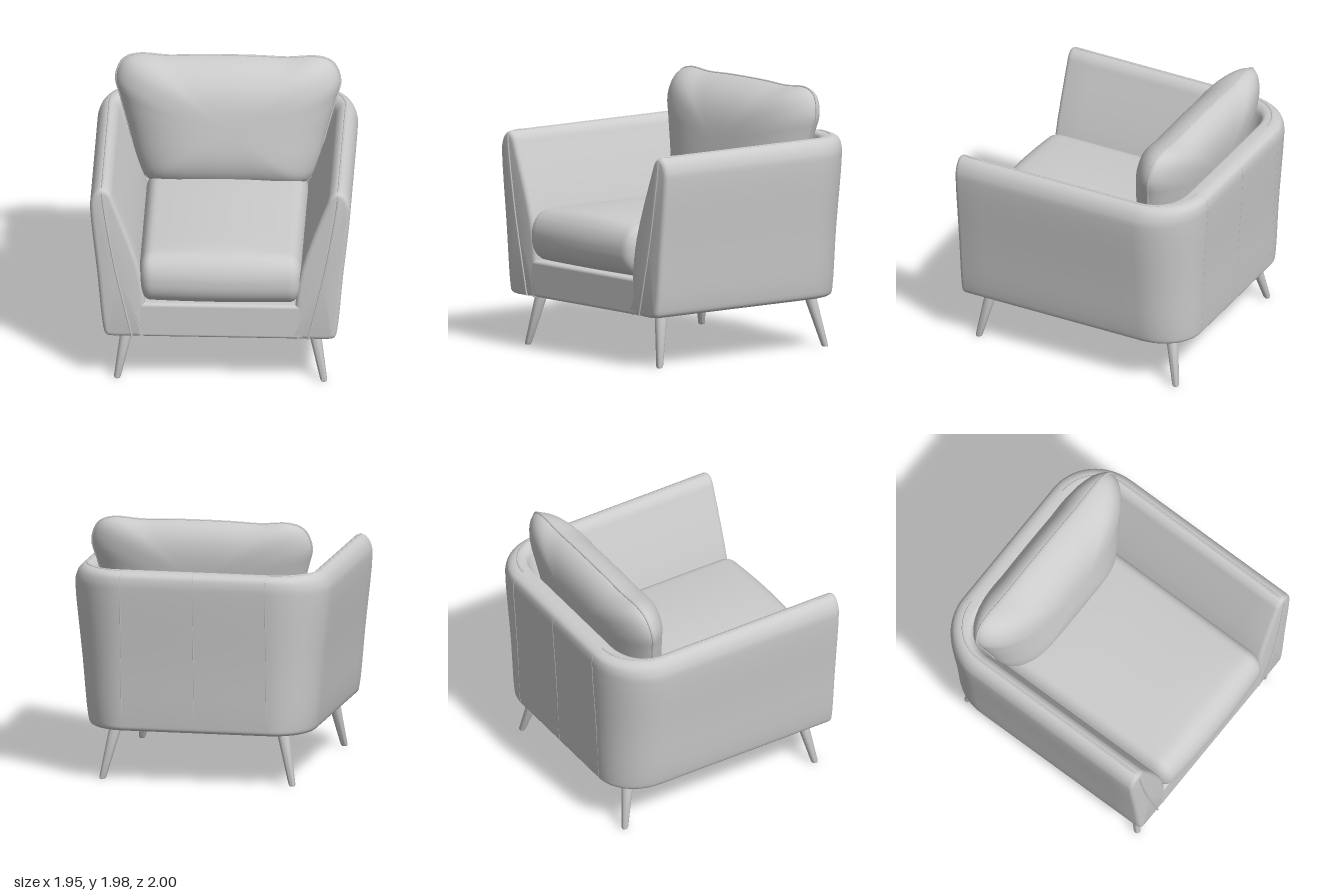
import * as THREE from 'three';
import { mergeVertices, toCreasedNormals } from 'three/addons/utils/BufferGeometryUtils.js';
import { RoundedBoxGeometry } from 'three/addons/geometries/RoundedBoxGeometry.js';

const material = new THREE.MeshStandardMaterial({ color: 0xcccccc });
const V = (x, y, z = 0) => new THREE.Vector3(x, y, z);

function add(parent, geometry, name) {
  const mesh = new THREE.Mesh(geometry, material);
  mesh.name = name;
  parent.add(mesh);
  return mesh;
}

function build(positions, index) {
  const g = new THREE.BufferGeometry();
  g.setAttribute('position', new THREE.Float32BufferAttribute(positions, 3));
  g.setIndex(index);
  return g;
}

const tube = (points, radius, n = 100, closed = false) =>
  new THREE.TubeGeometry(new THREE.CatmullRomCurve3(points, closed), n, radius, 6, closed);

// Shell sections as (distance inward from the outline, height)
const section = pts => new THREE.CatmullRomCurve3(pts.map(p => V(p[0], p[1])));
const armSection = section([[0.42, 0.39], [0.14, 0.39], [0.115, 0.405], [0.1, 0.45], [0.055, 0.9],
  [0, 1.45], [0.005, 1.51], [0.03, 1.57], [0.07, 1.605], [0.11, 1.605], [0.15, 1.57], [0.18, 1.5],
  [0.365, 0.97], [0.41, 0.68], [0.42, 0.39]]);
const backSection = section([[0.37, 0.39], [0.085, 0.39], [0.062, 0.405], [0.055, 0.45], [0.035, 0.9],
  [0, 1.45], [0, 1.53], [0.015, 1.58], [0.055, 1.603], [0.12, 1.607], [0.16, 1.6], [0.175, 1.56],
  [0.27, 0.97], [0.32, 0.68], [0.37, 0.39]]);

// U-shaped outline: arm front, arm, rounded back corner, back; then mirrored
const HALF = 0.975, R = 0.42, CX = HALF - R, CZ = -1 + R, FRONT = 0.93;
function outline() {
  const half = [];
  for (let i = 0; i <= 4; i++) {
    const a = i / 4 * Math.PI / 2;
    half.push({ x: HALF, z: FRONT - 0.035 * (1 - Math.cos(a)), nx: 1, nz: 0, w: 0, inset: 0.035 * (1 - Math.sin(a)) });
  }
  for (let i = 1; i < 8; i++)
    half.push({ x: HALF, z: THREE.MathUtils.lerp(FRONT - 0.035, CZ, i / 8), nx: 1, nz: 0, w: 0, inset: 0 });
  for (let i = 0; i <= 16; i++) {
    const a = i / 16 * Math.PI / 2, nx = Math.cos(a), nz = -Math.sin(a);
    half.push({ x: CX + R * nx, z: CZ + R * nz, nx, nz, w: THREE.MathUtils.smoothstep(i / 16, 0, 1), inset: 0 });
  }
  const mirrored = half.map(s => ({ ...s, x: -s.x, nx: -s.nx })).reverse();
  return { half, full: [...half, ...mirrored] };
}

function shellGeometry(stations) {
  const N = 56, pos = [], idx = [];
  const put = (s, d, y) => pos.push(s.x - s.nx * d, y, s.z - s.nz * d);
  for (const s of stations)
    for (let i = 0; i <= N; i++) {
      const p = armSection.getPoint(i / N).lerp(backSection.getPoint(i / N), s.w);
      const t = armSection.getTangent(i / N);
      put(s, p.x + t.y * s.inset, p.y - t.x * s.inset);
    }
  const row = N + 1, last = (stations.length - 1) * row;
  for (let j = 0; j < stations.length - 1; j++)
    for (let i = 0; i < N; i++) {
      const a = j * row + i, b = a + 1, c = a + row, d = c + 1;
      idx.push(a, c, b, b, c, d);
    }
  // Front faces of the two arms
  const c0 = pos.length / 3;
  put(stations[0], 0.2, 0.9);
  put(stations[stations.length - 1], 0.2, 0.9);
  for (let i = 0; i < N; i++) idx.push(c0, i, i + 1, c0 + 1, last + i + 1, last + i);
  return toCreasedNormals(build(pos, idx), 0.7);
}

// Box with elliptical edges, crowned on top and bulging at the front
function seatGeometry(size, radius, crown, bulge) {
  let g = new THREE.BoxGeometry(size.x, size.y, size.z, 44, 20, 44);
  g.deleteAttribute('normal');
  g.deleteAttribute('uv');
  g = mergeVertices(g);
  const p = g.attributes.position, v = V(0, 0), core = V(0, 0);
  const limit = size.clone().multiplyScalar(0.5).sub(radius);
  for (let i = 0; i < p.count; i++) {
    v.fromBufferAttribute(p, i);
    core.copy(v).clamp(limit.clone().negate(), limit);
    v.sub(core).divide(radius).normalize().multiply(radius).add(core);
    const fx = 1 - (2 * v.x / size.x) ** 2, fz = 1 - (2 * v.z / size.z) ** 6;
    if (v.y > 0) v.y += crown * fx * fz * v.y / (size.y / 2);
    if (v.z > 0) v.z += bulge * fx * v.z / (size.z / 2);
    p.setXYZ(i, v.x, v.y, v.z);
  }
  g.computeVertexNormals();
  return g;
}

// Back pillow: outline of the seam, with a domed front and back
const pillowHalf = [[0.2, 1.965], [0.45, 1.957], [0.68, 1.967], [0.785, 1.925], [0.84, 1.79], [0.805, 1.64],
  [0.74, 1.4], [0.675, 1.15], [0.61, 1.02], [0.48, 0.98], [0.2, 0.97]];
const seamZ = y => -0.67 + (1.97 - y) * 0.14;
function pillowSeam() {
  const pts = [...pillowHalf, ...pillowHalf.map(p => [-p[0], p[1]]).reverse()];
  return new THREE.CatmullRomCurve3(pts.map(p => V(p[0], p[1], seamZ(p[1]))), true);
}
function pillowGeometry(seam) {
  const N = 96, M = 20, pos = [], idx = [];
  const rim = seam.getSpacedPoints(N), cy = 1.5;
  for (let j = 0; j <= 2 * M; j++) {
    const a = j / (2 * M) * Math.PI, r = Math.sin(a), side = Math.cos(a);
    const dome = Math.pow(Math.max(0, 1 - r ** 3.2), 0.6) * (side > 0 ? 0.27 : -0.205);
    for (let i = 0; i < N; i++) {
      const x = rim[i].x * r, y = cy + (rim[i].y - cy) * r;
      pos.push(x, y, seamZ(y) + dome);
    }
  }
  for (let j = 0; j < 2 * M; j++)
    for (let i = 0; i < N; i++) {
      const k = (i + 1) % N, a = j * N + i, b = j * N + k, c = a + N, d = b + N;
      idx.push(a, b, c, b, d, c);
    }
  const g = mergeVertices(build(pos, idx), 1e-5);
  g.computeVertexNormals();
  return g;
}

// Round tapered leg, sheared so its foot stays level
function legGeometry(top, foot) {
  const profile = [[0, 0], [0.02, 0], [0.026, 0.012], [0.049, 0.42], [0, 0.42]].map(p => new THREE.Vector2(...p));
  const g = toCreasedNormals(new THREE.LatheGeometry(profile, 24), 0.9);
  const kx = (top[0] - foot[0]) / 0.39, kz = (top[1] - foot[1]) / 0.39;
  return g.applyMatrix4(new THREE.Matrix4().set(1, kx, 0, foot[0], 0, 1, 0, 0, 0, kz, 1, foot[1], 0, 0, 0, 1));
}

export function createModel() {
  const chair = new THREE.Group();
  chair.name = 'armchair';
  const { half, full } = outline();

  // Arms and back in one wrap, with the rail under the seat
  add(chair, shellGeometry(full), 'armsAndBack');
  add(chair, new RoundedBoxGeometry(1.26, 0.275, 0.26, 4, 0.025), 'frontRail').position.set(0, 0.5275, FRONT - 0.13);

  // Cushions
  add(chair, seatGeometry(V(1.225, 0.375, 1.63), V(0.085, 0.175, 0.14), 0.045, 0.03), 'seatCushion')
    .position.set(0, 0.8575, 0.155);
  const seam = pillowSeam();
  add(chair, pillowGeometry(seam), 'backCushion');
  add(chair, tube(seam.getSpacedPoints(80).slice(0, 80), 0.009, 200, true), 'backCushionPiping');

  // Piping up each arm front and along the top edge
  const top = half.slice(5).map(s => V(s.x - s.nx * 0.09, 1.607, s.z - s.nz * 0.09));
  for (const side of [1, -1]) {
    const path = [V(0.66, 0.392, 0.93), V(0.795, 1.0, 0.931), V(0.875, 1.48, 0.93), V(0.884, 1.57, 0.927), V(0.885, 1.6, 0.905), ...top];
    const name = side > 0 ? 'left' : 'right';
    add(chair, tube(path.map(p => V(p.x * side, p.y, p.z)), 0.008, 140), name + 'ArmPiping');
  }

  // Vertical seams of the back panel
  for (const x of [-CX, 0, CX])
    add(chair, tube([V(x, 0.42, -0.943), V(x, 0.9, -0.965), V(x, 1.45, -1), V(x, 1.53, -1), V(x, 1.58, -0.985), V(x, 1.603, -0.945)], 0.003, 40), 'backSeam');

  // Splayed legs
  for (const side of [1, -1]) {
    add(chair, legGeometry([0.7 * side, 0.75], [0.775 * side, 0.825]), 'frontLeg');
    add(chair, legGeometry([0.64 * side, -0.74], [0.727 * side, -0.82]), 'backLeg');
  }
  return chair;
}
